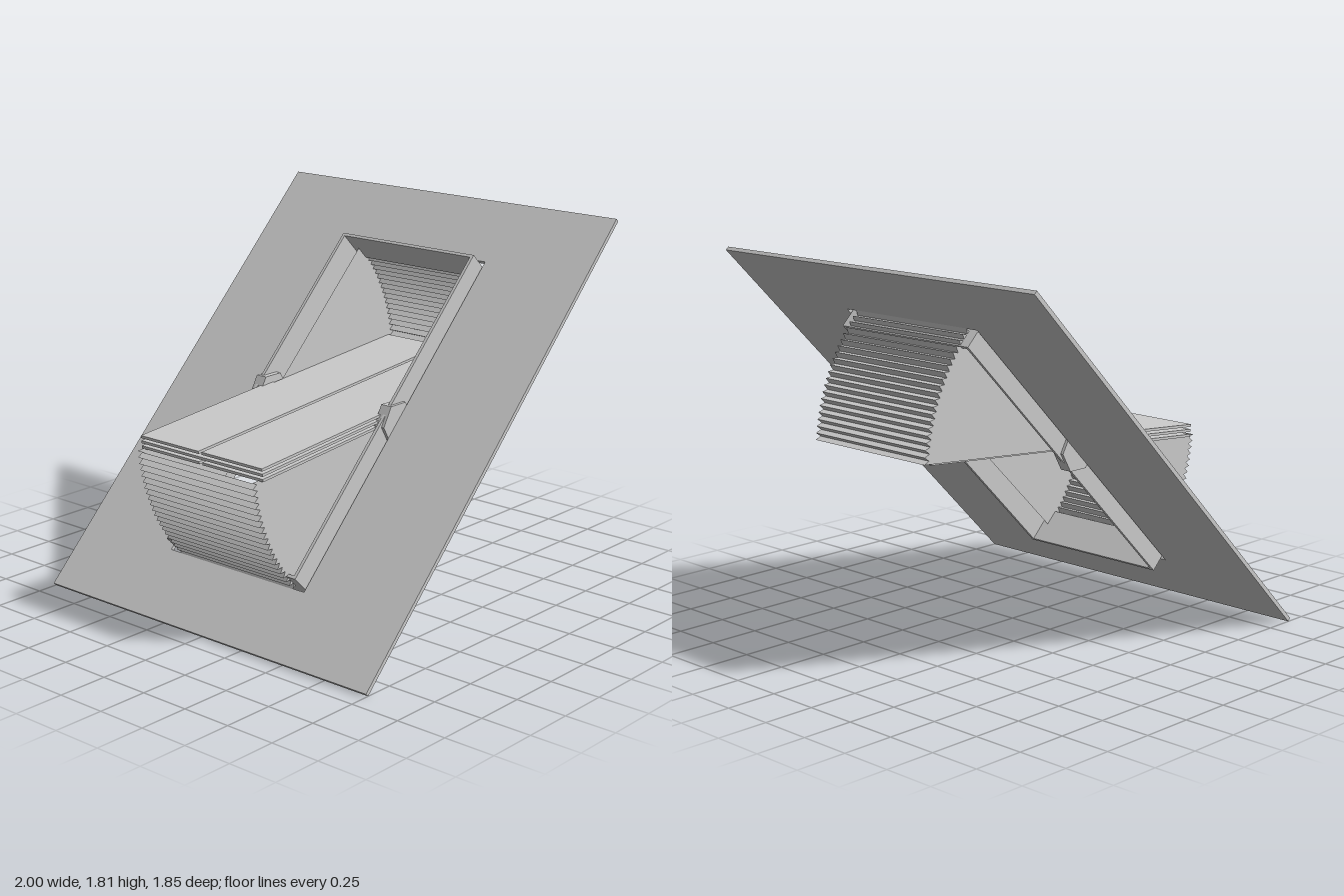
import * as THREE from 'three';

const mat = new THREE.MeshStandardMaterial({ color: 0xcccccc, flatShading: true });
const thin = new THREE.MeshStandardMaterial({ color: 0xcccccc, flatShading: true, side: THREE.DoubleSide });

function add(parent, name, geometry, x = 0, y = 0, z = 0, material = mat) {
  const mesh = new THREE.Mesh(geometry, material);
  mesh.name = name;
  mesh.position.set(x, y, z);
  parent.add(mesh);
  return mesh;
}

// Rectangle ring extruded about z = 0
function ring(w, h, holeW, holeH, depth) {
  const rect = (P, a, b) => new P([[-a, -b], [a, -b], [a, b], [-a, b]].map(([x, y]) => new THREE.Vector2(x / 2, y / 2)));
  const shape = rect(THREE.Shape, w, h);
  shape.holes.push(rect(THREE.Path, holeW, holeH));
  return new THREE.ExtrudeGeometry(shape, { depth, bevelEnabled: false }).translate(0, 0, -depth / 2);
}

const TILT = THREE.MathUtils.degToRad(4.9);

// Hollow quarter bellows: two flat cheeks and a pleated curved wall
function bellows(name) {
  const group = new THREE.Group();
  group.name = name;
  const teeth = 20, end = THREE.MathUtils.degToRad(44.4), half = 0.36;
  const profile = [];
  for (let i = 0; i <= teeth * 2; i++) {
    const a = TILT + (end - TILT) * i / (teeth * 2);
    const r = i % 2 ? 0.9 : 0.928;
    profile.push(new THREE.Vector2(r * Math.cos(a), -r * Math.sin(a)));
  }
  const cheek = new THREE.ShapeGeometry(new THREE.Shape([new THREE.Vector2(0, 0), ...profile]));
  cheek.rotateY(-Math.PI / 2);
  for (const s of [-1, 1]) add(group, 'bellowsCheek', cheek, s * half, 0, 0, thin);

  const wall = new THREE.PlaneGeometry(half * 2, 1, 1, teeth * 2);
  const pos = wall.attributes.position;
  for (let i = 0; i < pos.count; i++) {
    const p = profile[Math.floor(i / 2)];
    pos.setXYZ(i, pos.getX(i), p.y, p.x);
  }
  const flat = wall.toNonIndexed();
  flat.computeVertexNormals();
  add(group, 'pleatedWall', flat, 0, 0, 0, thin);
  return group;
}

export function createModel() {
  const model = new THREE.Group();
  model.name = 'pivotingHatch';
  const centre = new THREE.Group();
  centre.name = 'hatchAssembly';
  centre.position.y = 0.9075;
  model.add(centre);

  // Sloping slab with its opening, and the lining frame inside it
  const slope = new THREE.Group();
  slope.name = 'slopingPart';
  slope.rotation.x = -Math.PI / 4;
  centre.add(slope);
  add(slope, 'slab', ring(2, 2.546, 0.85, 1.85, 0.02));
  add(slope, 'liningFrame', ring(0.82, 1.81, 0.788, 1.78, 0.18));

  // Hexagonal pivots through the frame sides
  for (const s of [-1, 1]) {
    const hex = new THREE.CylinderGeometry(0.105, 0.105, 0.06, 6).rotateZ(Math.PI / 2);
    add(centre, 'pivot', hex, s * 0.395, 0, 0);
  }

  // Layered leaf: wide in front of the pivot, narrow behind it
  const leaf = new THREE.Group();
  leaf.name = 'leaf';
  leaf.rotation.x = TILT;
  centre.add(leaf);
  const T = 0.013, L = 0.88, GAP = 0.01;
  const plate = (name, y, half, z, split) => {
    if (!split) {
      add(leaf, name, new THREE.BoxGeometry(half * 2, T, L), 0, y, z);
      return;
    }
    const w = half - GAP;
    for (const s of [-1, 1]) add(leaf, name, new THREE.BoxGeometry(w, T, L), s * (GAP + w / 2), y, z);
  };
  [['lowerPlate', 0, true, false], ['middlePlate', 0.025, false, false], ['upperPlate', 0.05, true, true]]
    .forEach(([name, y, splitFront, splitBack]) => {
      plate(name, y, 0.38, L / 2, splitFront);
      plate(name, y, 0.355, -L / 2, splitBack);
    });

  // Bellows below the front half and above the back half
  centre.add(bellows('frontBellows'));
  const back = bellows('backBellows');
  back.rotation.x = Math.PI;
  centre.add(back);
  return model;
}
